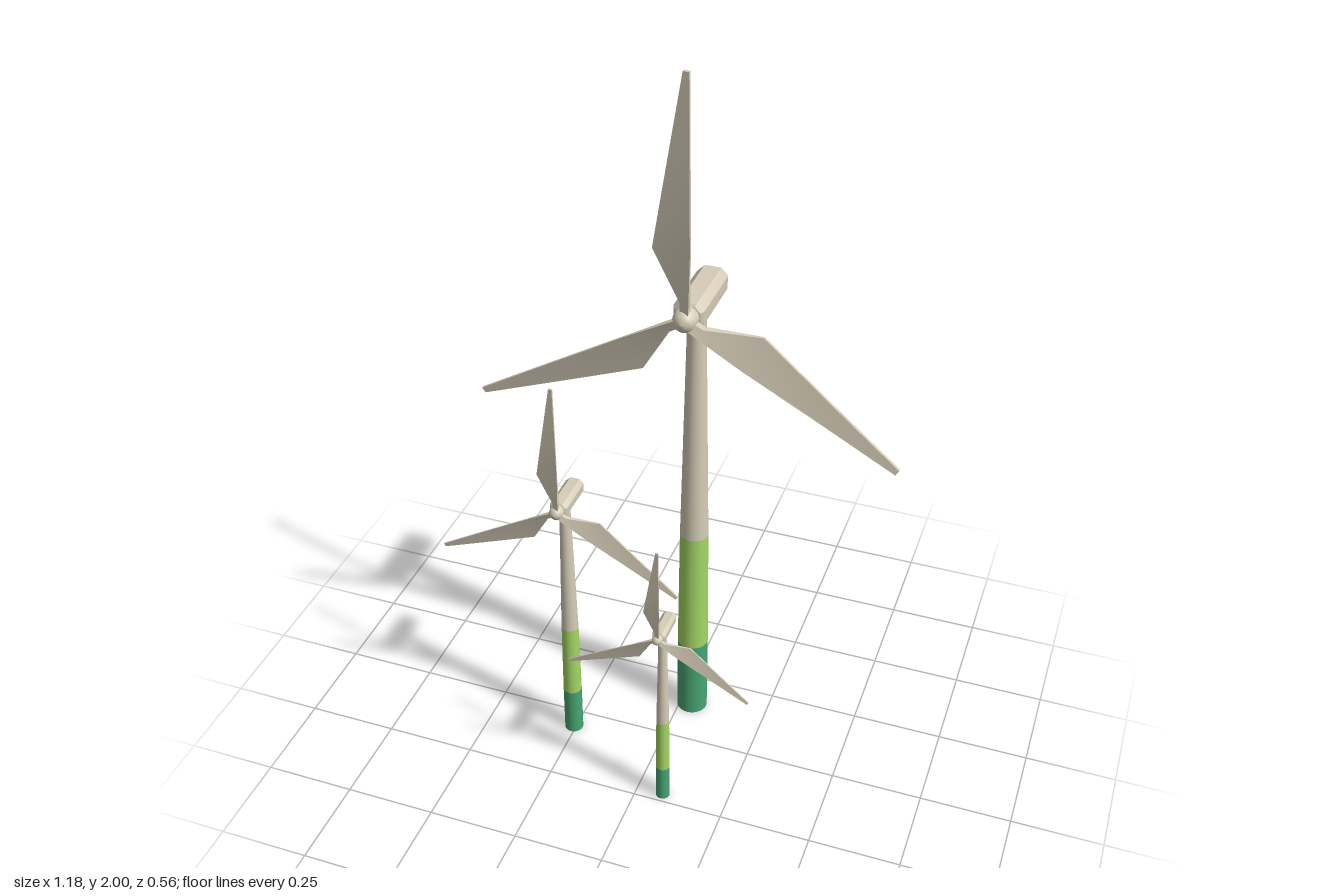
import * as THREE from 'three';
import { toCreasedNormals } from 'three/addons/utils/BufferGeometryUtils.js';

const flat = (name, color) => Object.assign(new THREE.MeshStandardMaterial({ color }), { name });

function mesh(name, geometry, material) {
  const m = new THREE.Mesh(geometry, material);
  m.name = name;
  return m;
}

// Thin twisted blade lofted through rectangular sections, pointing up from the hub
function bladeGeometry() {
  // height, trailing x, leading x, trailing z, leading z, thickness
  const stations = [
    [0.015, -0.012, 0.013, -0.004, 0.004, 0.02],
    [0.05, -0.012, 0.014, -0.005, 0.005, 0.018],
    [0.18, -0.087, 0.016, -0.013, 0.009, 0.007],
    [0.4, -0.049, 0.012, -0.006, 0.004, 0.008],
    [0.64, -0.008, 0.008, -0.001, 0.001, 0.009],
  ];
  const pos = [], index = [];
  for (const [y, x0, x1, z0, z1, t] of stations) {
    pos.push(x0, y, z0 + t / 2, x1, y, z1 + t / 2, x1, y, z1 - t / 2, x0, y, z0 - t / 2);
  }
  for (let s = 0; s < stations.length - 1; s++) {
    for (let i = 0; i < 4; i++) {
      const a = s * 4 + i, b = s * 4 + (i + 1) % 4;
      index.push(a, b, b + 4, a, b + 4, a + 4);
    }
  }
  const e = (stations.length - 1) * 4;
  index.push(e, e + 1, e + 2, e, e + 2, e + 3, 0, 2, 1, 0, 3, 2);
  const g = new THREE.BufferGeometry();
  g.setAttribute('position', new THREE.Float32BufferAttribute(pos, 3));
  g.setIndex(index);
  return toCreasedNormals(g, 0.6);
}

// Housing with an eight-sided section and rounded ends, running along z
function nacelleGeometry() {
  const b = 0.016, w = 0.041 - b, h = 0.037 - b, c = 0.01;
  const shape = new THREE.Shape([
    [w, -h + c], [w, h - c], [w - c, h], [-w + c, h],
    [-w, h - c], [-w, -h + c], [-w + c, -h], [w - c, -h],
  ].map(([x, y]) => new THREE.Vector2(x, y)));
  const g = new THREE.ExtrudeGeometry(shape, {
    depth: 0.21 - 2 * b, bevelEnabled: true, bevelSize: b, bevelThickness: b, bevelSegments: 3,
  });
  g.translate(0, 0, -0.134 + b);
  return toCreasedNormals(g, 0.5);
}

// Rounded nose cone, turned to face +z
function hubGeometry() {
  const profile = [[0.03, -0.03], [0.032, -0.012], [0.031, 0.003], [0.025, 0.016], [0.014, 0.025], [0, 0.028]];
  const g = new THREE.LatheGeometry(profile.map(([r, y]) => new THREE.Vector2(r, y)), 20);
  return g.rotateX(Math.PI / 2);
}

export function createModel() {
  const beige = flat('warm beige', 0xd6cdb8);
  const lime = flat('lime green', 0xa4d765);
  const green = flat('deep green', 0x48a572);

  const blade = bladeGeometry(), nacelle = nacelleGeometry(), hub = hubGeometry();
  const HUB_Y = 1.36;
  // bottom, top, bottom radius, top radius
  const bands = [
    ['towerBase', 0, 0.25, 0.0435, 0.043, green],
    ['towerMiddle', 0.25, 0.635, 0.043, 0.039, lime],
    ['towerUpper', 0.635, 1.335, 0.039, 0.024, beige],
  ].map(([name, y0, y1, r0, r1, mat]) => {
    const g = new THREE.CylinderGeometry(r1, r0, y1 - y0, 28);
    return [name, g.translate(0, (y0 + y1) / 2, 0), mat];
  });

  function turbine(name, x, z, scale) {
    const t = new THREE.Group();
    t.name = name;
    for (const [part, g, mat] of bands) t.add(mesh(part, g, mat));

    const housing = mesh('nacelle', nacelle, beige);
    housing.position.y = HUB_Y;
    t.add(housing);

    // Three blades around the hub
    const rotor = new THREE.Group();
    rotor.name = 'rotor';
    rotor.position.set(0, HUB_Y, 0.096);
    rotor.add(mesh('hub', hub, beige));
    for (let i = 0; i < 3; i++) {
      const b = mesh('blade', blade, beige);
      b.rotation.z = i * Math.PI * 2 / 3;
      rotor.add(b);
    }
    t.add(rotor);

    t.position.set(x, 0, z);
    t.scale.setScalar(scale);
    return t;
  }

  const model = new THREE.Group();
  model.name = 'windTurbines';
  model.add(
    turbine('largeTurbine', 0.034, -0.146, 1),
    turbine('mediumTurbine', -0.257, 0.058, 0.6),
    turbine('smallTurbine', 0.074, 0.222, 0.443),
  );
  return model;
}
